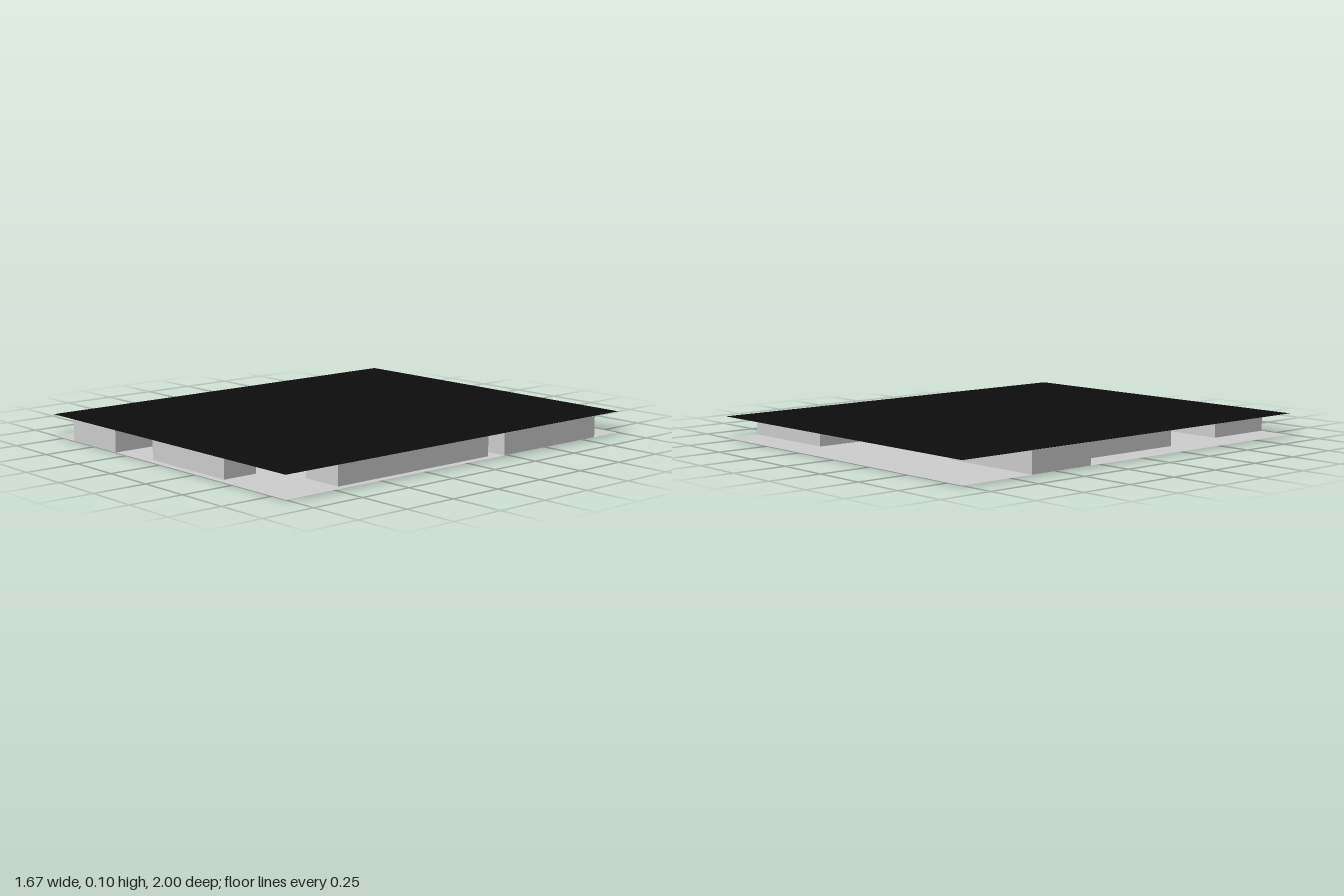
import * as THREE from 'three';

// Plan is laid out on a 50 x 60 site; U converts site units to model units.
const U = 1 / 30;
const HEIGHT = 0.1;
const GAP = 0.0005; // keeps block ends off the two sheets

// Blocks as [name, x0, x1, z0, z1] in site units
const BLOCKS = [
  ['frontLeftBlock', -20, -10, 20, 30],
  ['frontBlock', -3, 12, 24, 29],
  ['sideBlock', 18, 24, -5, 21],
  ['backCornerBlock', 10, 25, -25, -7],
  ['backSideBlock', -25, -10, -19, -9],
  ['centreBlock', -21, 5, -8, 10],
];

export function createModel() {
  const group = new THREE.Group();
  const grey = new THREE.MeshStandardMaterial({ color: 0xcccccc });
  const greySheet = new THREE.MeshStandardMaterial({ color: 0xcccccc, side: THREE.DoubleSide });
  const blackSheet = new THREE.MeshStandardMaterial({ color: 0x0d0d0d, side: THREE.DoubleSide });

  // Thin horizontal sheet covering the whole site
  const addSheet = (name, y, material) => {
    const geometry = new THREE.PlaneGeometry(50 * U, 60 * U).rotateX(-Math.PI / 2);
    const mesh = new THREE.Mesh(geometry, material);
    mesh.name = name;
    mesh.position.y = y;
    group.add(mesh);
  };
  addSheet('floor', 0, greySheet);
  addSheet('roof', HEIGHT, blackSheet);

  // Building blocks standing between floor and roof
  for (const [name, x0, x1, z0, z1] of BLOCKS) {
    const geometry = new THREE.BoxGeometry((x1 - x0) * U, HEIGHT - 2 * GAP, (z1 - z0) * U);
    const mesh = new THREE.Mesh(geometry, grey);
    mesh.name = name;
    mesh.position.set((x0 + x1) / 2 * U, HEIGHT / 2, (z0 + z1) / 2 * U);
    group.add(mesh);
  }
  return group;
}
